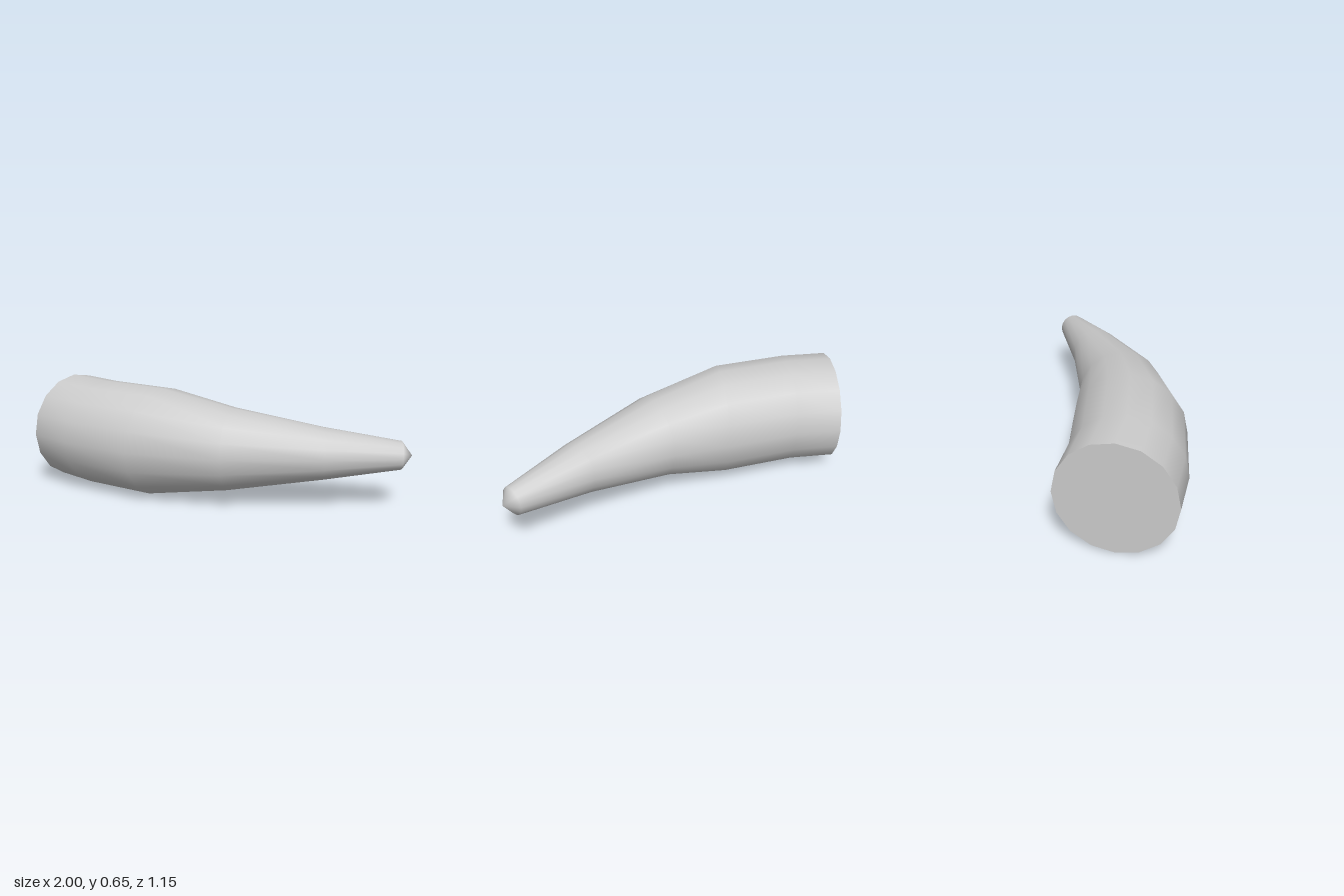
import * as THREE from 'three';

const SIDES = 16;
const MID_Y = 0.3275;

// Cross-sections from base to tip: centre x, centre z, tilt from the +z axis, radius
const SECTIONS = [
  [-1, 0.246, 0, 0.3275],
  [-0.73, 0.246, 0, 0.3275],
  [-0.295, 0.17, 0.02, 0.3275],
  [0.125, 0.022, 0.395, 0.246],
  [0.59, -0.252, 0.634, 0.153],
  [0.951, -0.508, 0.634, 0.083],
];
const TIP = [1, MID_Y, -0.543];

function ringPoint([x, z, tilt, r], i) {
  const a = (i / SIDES) * Math.PI * 2;
  const out = Math.cos(a) * r;
  return [x + Math.sin(tilt) * out, MID_Y + Math.sin(a) * r, z + Math.cos(tilt) * out];
}

function buildMesh(name, positions, indices) {
  const geometry = new THREE.BufferGeometry();
  geometry.setAttribute('position', new THREE.Float32BufferAttribute(positions, 3));
  geometry.setIndex(indices);
  geometry.computeVertexNormals();
  const mesh = new THREE.Mesh(geometry, new THREE.MeshStandardMaterial({ color: 0xcccccc }));
  mesh.name = name;
  return mesh;
}

export function createModel() {
  const group = new THREE.Group();
  group.name = 'horn';

  // Smooth curved body, closed by a blunt point
  const positions = [];
  const indices = [];
  for (const section of SECTIONS) {
    for (let i = 0; i < SIDES; i++) positions.push(...ringPoint(section, i));
  }
  const tip = SECTIONS.length * SIDES;
  positions.push(...TIP);
  for (let s = 0; s < SECTIONS.length; s++) {
    for (let i = 0; i < SIDES; i++) {
      const a = s * SIDES + i;
      const b = s * SIDES + ((i + 1) % SIDES);
      if (s === SECTIONS.length - 1) indices.push(a, tip, b);
      else indices.push(a, a + SIDES, b, b, a + SIDES, b + SIDES);
    }
  }
  group.add(buildMesh('hornBody', positions, indices));

  // Flat base with its own vertices, for a sharp rim
  const capPositions = [SECTIONS[0][0], MID_Y, SECTIONS[0][1]];
  const capIndices = [];
  for (let i = 0; i < SIDES; i++) {
    capPositions.push(...ringPoint(SECTIONS[0], i));
    capIndices.push(0, 1 + i, 1 + ((i + 1) % SIDES));
  }
  group.add(buildMesh('hornBase', capPositions, capIndices));

  return group;
}
